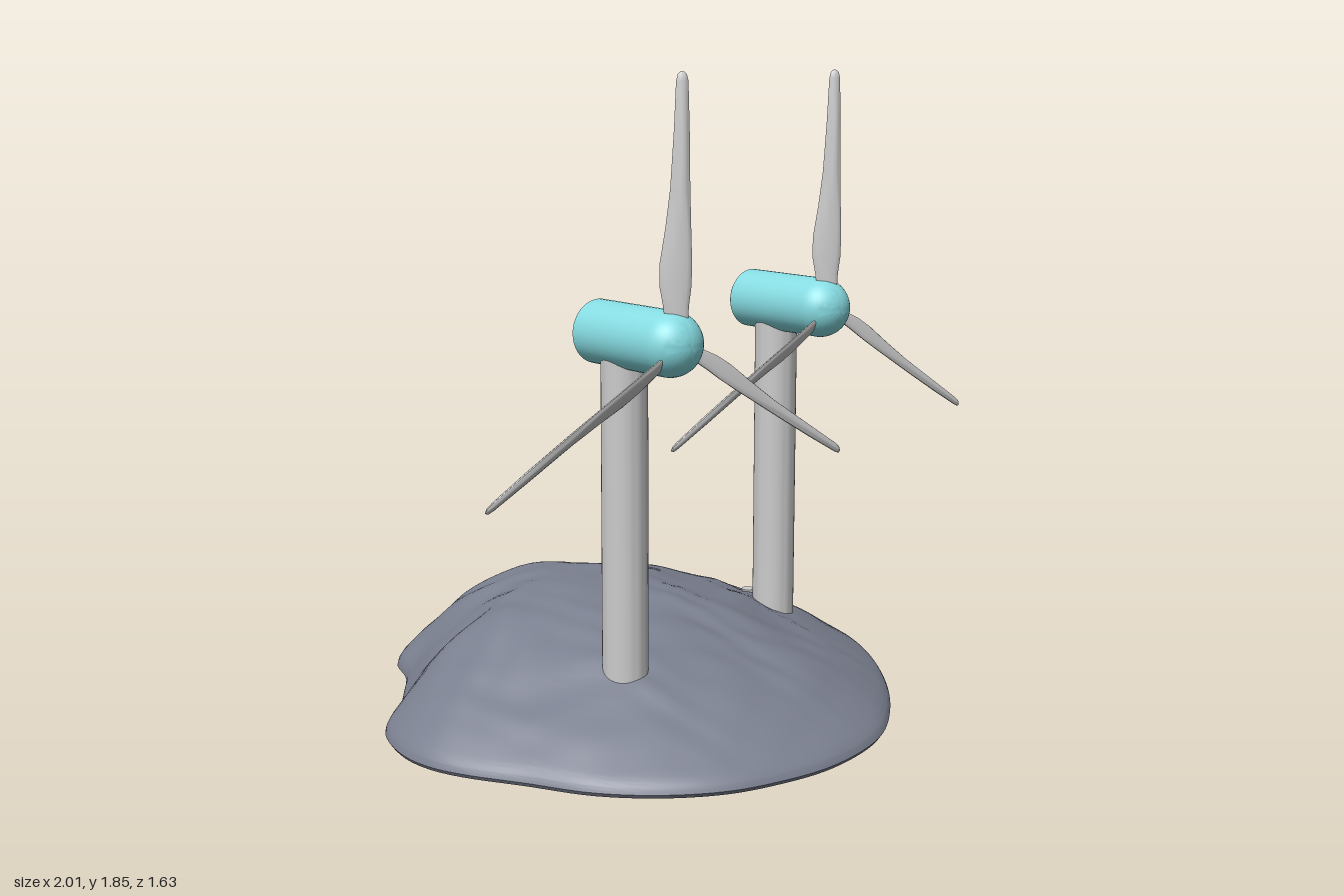
import * as THREE from 'three';
import { toCreasedNormals } from 'three/addons/utils/BufferGeometryUtils.js';

const grey = new THREE.MeshStandardMaterial({ color: 0xcccccc });
const teal = new THREE.MeshStandardMaterial({ color: 0x86dce2 });
const rock = new THREE.MeshStandardMaterial({ color: 0x7b8090 });

function mesh(name, geometry, material) {
  const m = new THREE.Mesh(geometry, material);
  m.name = name;
  return m;
}

// Skin a list of closed rings (arrays of Vector3), all the same length
function loft(rings, crease) {
  const n = rings[0].length, index = [];
  for (let i = 0; i < rings.length - 1; i++) {
    for (let j = 0; j < n; j++) {
      const k = (j + 1) % n;
      const a = i * n + j, b = a + n, c = (i + 1) * n + k, d = i * n + k;
      index.push(a, b, c, a, c, d);
    }
  }
  const g = new THREE.BufferGeometry().setFromPoints(rings.flat());
  g.setIndex(index);
  return toCreasedNormals(g, crease);
}

// Hill: outline shrunk towards the summit, then a hollow underside
function hillGeometry() {
  const outline = new THREE.CatmullRomCurve3([
    [-0.1, -0.82], [-0.25, -0.8], [-0.42, -0.74], [-0.53, -0.65], [-0.58, -0.52], [-0.65, -0.42],
    [-0.75, -0.29], [-0.87, -0.17], [-0.92, 0], [-0.91, 0.12], [-0.87, 0.22], [-0.78, 0.37],
    [-0.68, 0.54], [-0.55, 0.67], [-0.4, 0.76], [-0.25, 0.8], [-0.1, 0.815], [0.07, 0.79],
    [0.2, 0.74], [0.35, 0.63], [0.5, 0.48], [0.62, 0.32], [0.7, 0.17], [0.745, 0],
    [0.73, -0.12], [0.7, -0.22], [0.6, -0.36], [0.45, -0.51], [0.3, -0.65], [0.18, -0.74], [0.05, -0.8],
  ].map(([x, z]) => new THREE.Vector3(x, 0, z)), true);
  const edge = outline.getSpacedPoints(144).slice(0, 144);
  const summit = new THREE.Vector3(-0.2, 0, -0.24);
  const middle = new THREE.Vector3(-0.09, 0, 0);
  const slope = new THREE.SplineCurve([
    [0, 0.342], [0.2, 0.332], [0.4, 0.295], [0.6, 0.228], [0.8, 0.142], [0.94, 0.066], [0.985, 0.035], [1, 0.012],
  ].map(([t, y]) => new THREE.Vector2(t, y)));

  const rings = [];
  for (const { x: t, y } of slope.getPoints(42)) {
    rings.push(edge.map((e) => {
      const p = summit.clone().lerp(e, t);
      const bumps = 0.5 * Math.sin(9 * p.x + 5 * p.z) * Math.sin(11 * p.z - 4 * p.x)
        + 0.35 * Math.sin(23 * p.x + 3 * Math.sin(9 * p.z)) * Math.sin(19 * p.z)
        + 0.15 * Math.sin(37 * p.x - 21 * p.z + 2 * Math.sin(17 * p.x));
      p.y = y + 0.07 * t * (1 - t) * bumps;
      return p;
    }));
  }
  // Rim, with a small notch at the back
  const rimHeight = (e) => 0.03 * Math.exp(-((e.x + 0.57) ** 2 + (e.z + 0.56) ** 2) / 0.004);
  rings.push(edge.map((e) => new THREE.Vector3(e.x, rimHeight(e), e.z).lerp(middle, 0.01)));
  // Oval hollow
  for (const [r, y] of [[0.68, 0], [0.67, 0.035], [0.645, 0.07], [0.6, 0.092], [0.53, 0.1], [0, 0.1]]) {
    rings.push(edge.map((e) => {
      const p = e.clone().sub(middle).setLength(r).add(middle);
      p.y = y === 0 ? rimHeight(e) : y;
      return p;
    }));
  }
  return loft(rings, 0.7);
}

// Blade stations: height, leading edge x z, trailing edge x z
function bladeGeometry() {
  const stations = [
    [0.04, 0.02, 0.02, -0.022, -0.018], [0.1, 0.023, 0.021, -0.028, -0.022],
    [0.15, 0.028, 0.025, -0.035, -0.028], [0.21, 0.03, 0.025, -0.034, -0.028],
    [0.3, 0.03, 0.021, -0.021, -0.021], [0.4, 0.03, 0.017, -0.01, -0.015],
    [0.55, 0.03, 0.014, -0.002, -0.01], [0.67, 0.028, 0.011, 0.003, -0.008],
    [0.687, 0.025, 0.008, 0.006, -0.005], [0.694, 0.018, 0.003, 0.013, -0.001],
    [0.694, 0.0155, 0.001, 0.0155, 0.001],
  ];
  const rings = stations.map(([y, lx, lz, tx, tz]) => {
    const cx = (lx + tx) / 2, cz = (lz + tz) / 2, hx = (lx - tx) / 2, hz = (lz - tz) / 2;
    const chord = Math.hypot(hx, hz) || 1;
    const thick = Math.min(0.009, chord * 0.45) / chord;
    return Array.from({ length: 16 }, (_, j) => {
      const a = (j / 16) * Math.PI * 2, c = Math.cos(a), s = Math.sin(a) * thick;
      return new THREE.Vector3(cx + hx * c - hz * s, y, cz + hz * c + hx * s);
    });
  });
  return loft(rings, 0.9).translate(-0.006, 0.007, 0);
}

// Smooth turned part from radius/height pairs
function turned(profile, sides) {
  return toCreasedNormals(new THREE.LatheGeometry(profile.map(([r, y]) => new THREE.Vector2(r, y)), sides), 0.6);
}

function createTurbine(name, x, z, blade) {
  const turbine = new THREE.Group();
  turbine.name = name;
  turbine.position.set(x, 0, z);

  // Tower, with a socket in its foot
  turbine.add(mesh('tower',
    turned([[0, 0.09], [0.03, 0.09], [0.03, 0.025], [0.064, 0.025], [0.064, 1.12], [0, 1.12]], 40), grey));

  // Nacelle with a rounded nose
  const body = [[0, -0.117], [0.084, -0.117], [0.088, -0.112]];
  for (let i = 0; i <= 12; i++) {
    const a = (i / 12) * Math.PI / 2;
    body.push([i === 12 ? 0 : 0.088 * Math.cos(a), 0.19 + 0.086 * Math.sin(a)]);
  }
  const nacelle = mesh('nacelle', turned(body, 40), teal);
  nacelle.rotation.x = Math.PI / 2;
  nacelle.position.y = 1.157;
  turbine.add(nacelle);

  // Rotor
  const rotor = new THREE.Group();
  rotor.name = 'rotor';
  rotor.position.set(0.006, 1.153, 0.215);
  for (let i = 0; i < 3; i++) {
    const b = mesh('blade', blade, grey);
    b.rotation.z = (i * Math.PI * 2) / 3;
    rotor.add(b);
  }
  turbine.add(rotor);
  return turbine;
}

export function createModel() {
  const model = new THREE.Group();
  model.name = 'windTurbinesOnHill';
  const blade = bladeGeometry();
  model.add(mesh('hill', hillGeometry(), rock));
  model.add(createTurbine('rightTurbine', -0.393, 0.32, blade));
  model.add(createTurbine('leftTurbine', 0.4, 0.08, blade));

  // Small peg through the hill behind the left tower
  const peg = mesh('peg', new THREE.CylinderGeometry(0.02, 0.02, 0.165, 24), grey);
  peg.position.set(0.388, 0.1425, -0.022);
  model.add(peg);
  return model;
}
